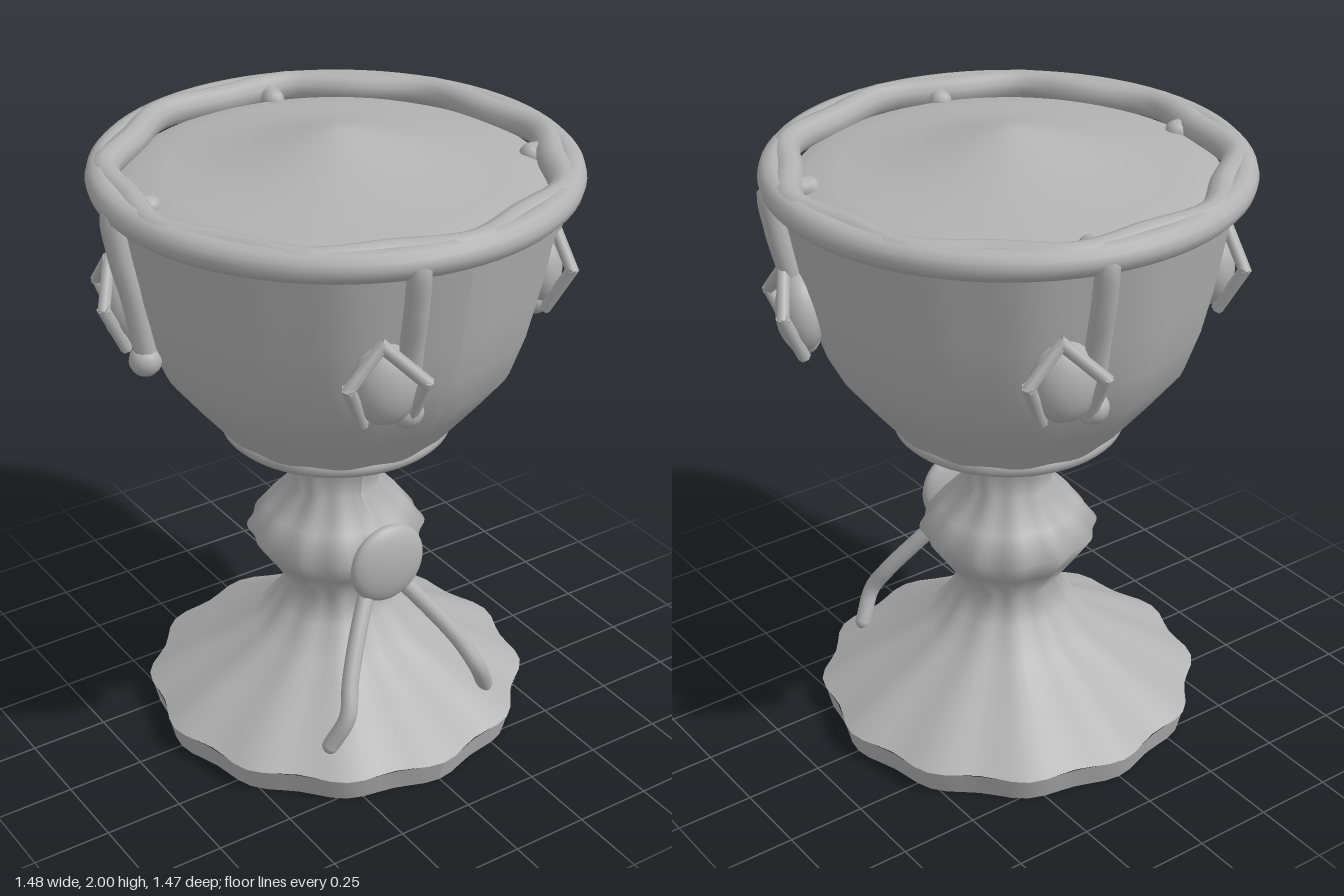
import * as THREE from 'three';

const stone = new THREE.MeshStandardMaterial({ color: 0xb2b2b2 });
stone.name = 'grey stone';

const V = (x, y, z) => new THREE.Vector3(x, y, z);

function add(parent, name, geometry) {
  const mesh = new THREE.Mesh(geometry, stone);
  mesh.name = name;
  parent.add(mesh);
  return mesh;
}

// Turned shape whose radius ripples into soft vertical flutes
function fluted(profile, ripple) {
  const geo = new THREE.LatheGeometry(profile.map(([r, y]) => new THREE.Vector2(r, y)), 72);
  const p = geo.attributes.position;
  for (let i = 0; i < p.count; i++) {
    const x = p.getX(i), z = p.getZ(i);
    const k = 1 + ripple * Math.cos(12 * Math.atan2(x, z));
    p.setX(i, x * k);
    p.setZ(i, z * k);
  }
  // keep the turned normals, which shade the flutes softly
  if (ripple > 0) geo.computeVertexNormals();
  return geo;
}

// Round strand along points, closed at both ends by balls
function strand(parent, name, points, radius) {
  const curve = new THREE.CatmullRomCurve3(points, false, 'centripetal');
  add(parent, name, new THREE.TubeGeometry(curve, 24, radius, 10));
  for (const end of [points[0], points[points.length - 1]]) {
    add(parent, name + 'End', new THREE.SphereGeometry(radius, 10, 8)).position.copy(end);
  }
}

// Straight bar between two points
function bar(parent, name, a, b, radius) {
  const dir = b.clone().sub(a);
  const mesh = add(parent, name, new THREE.CylinderGeometry(radius, radius, dir.length() + radius, 6));
  mesh.position.copy(a).add(b).multiplyScalar(0.5);
  mesh.quaternion.setFromUnitVectors(V(0, 1, 0), dir.normalize());
}

export function createModel() {
  const model = new THREE.Group();
  model.name = 'goblet';

  // Foot, knob and neck
  add(model, 'footUnderside', fluted([[0, 0], [0.585, 0]], 0.02));
  add(model, 'footEdge', fluted([[0.585, 0], [0.605, 0.08]], 0.02));
  add(model, 'stem', fluted([
    [0.605, 0.08], [0.44, 0.185], [0.27, 0.29], [0.2, 0.38], [0.15, 0.46],
    [0.22, 0.56], [0.28, 0.65], [0.22, 0.73], [0.14, 0.82], [0.155, 0.96], [0.27, 1.025],
  ], 0.025));

  // Bowl with its collar
  add(model, 'bowlUnderside', fluted([[0, 1.02], [0.33, 1.02]], 0));
  add(model, 'bowl', fluted([
    [0.33, 1.02], [0.38, 1.08], [0.47, 1.19], [0.555, 1.3], [0.6, 1.43], [0.635, 1.58], [0.685, 1.87],
  ], 0.01));
  const collar = add(model, 'collar', new THREE.TorusGeometry(0.332, 0.032, 12, 60));
  collar.rotation.x = Math.PI / 2;
  collar.position.y = 1.048;

  // Rim: an outer ring and a wavy strand wound along its inside
  const rim = add(model, 'rim', new THREE.TorusGeometry(0.69, 0.046, 12, 72));
  rim.rotation.x = Math.PI / 2;
  rim.position.y = 1.878;
  const wave = [];
  for (let i = 0; i < 18; i++) {
    const a = (i / 18) * Math.PI * 2, r = i % 2 ? 0.643 : 0.68;
    wave.push(V(r * Math.sin(a), 1.884, r * Math.cos(a)));
  }
  add(model, 'rimStrand', new THREE.TubeGeometry(
    new THREE.CatmullRomCurve3(wave, true), 108, 0.046, 10, true));

  // Filling that swells to a peak (profile runs outwards-in to face up)
  add(model, 'filling', fluted([
    [0.64, 1.85], [0.58, 1.875], [0.5, 1.885], [0.4, 1.9], [0.3, 1.92],
    [0.2, 1.948], [0.1, 1.98], [0.04, 1.996], [0, 2],
  ], 0));

  // Four hooks over the rim, each with a clasped berry: [hook angle, berry angle]
  for (const [hookAngle, berryAngle] of [[-15, -21], [68, 70], [166, 158], [264, 247]]) {
    const hook = new THREE.Group();
    hook.name = 'hook';
    hook.rotation.y = THREE.MathUtils.degToRad(hookAngle);
    strand(hook, 'hookStrand', [
      V(0, 1.87, 0.595), V(0, 1.875, 0.66), V(0, 1.875, 0.705), V(0, 1.75, 0.695),
      V(0, 1.6, 0.66), V(0, 1.4, 0.625),
    ], 0.036);
    const tip = add(hook, 'hookTip', new THREE.SphereGeometry(0.05, 14, 10));
    tip.position.set(0, 1.39, 0.63);
    model.add(hook);

    const clasp = new THREE.Group();
    clasp.name = 'claspedBerry';
    clasp.rotation.y = THREE.MathUtils.degToRad(berryAngle);
    const berry = add(clasp, 'berry', new THREE.SphereGeometry(0.1, 20, 14));
    berry.scale.set(1, 1.25, 0.75);
    berry.position.set(0, 1.49, 0.64);
    for (const s of [-1, 1]) {
      const top = V(-0.02, 1.63, 0.68), elbow = V(s * 0.11 - 0.01, 1.52, 0.71), foot = V(s * 0.07, 1.38, 0.65);
      bar(clasp, 'claspUpper', top, elbow, 0.02);
      bar(clasp, 'claspLower', elbow, foot, 0.02);
    }
    model.add(clasp);
  }

  // Medallion on the knob with two trailing ribbons
  const medallion = add(model, 'medallion', new THREE.SphereGeometry(0.133, 32, 20));
  medallion.scale.z = 0.35;
  medallion.position.set(0, 0.65, 0.29);
  for (const s of [-1, 1]) {
    strand(model, 'ribbon', [
      V(s * 0.06, 0.56, 0.27), V(s * 0.14, 0.45, 0.335), V(s * 0.21, 0.34, 0.4),
      V(s * 0.25, 0.25, 0.445), V(s * 0.3, 0.15, 0.425),
    ], 0.027);
  }
  return model;
}
